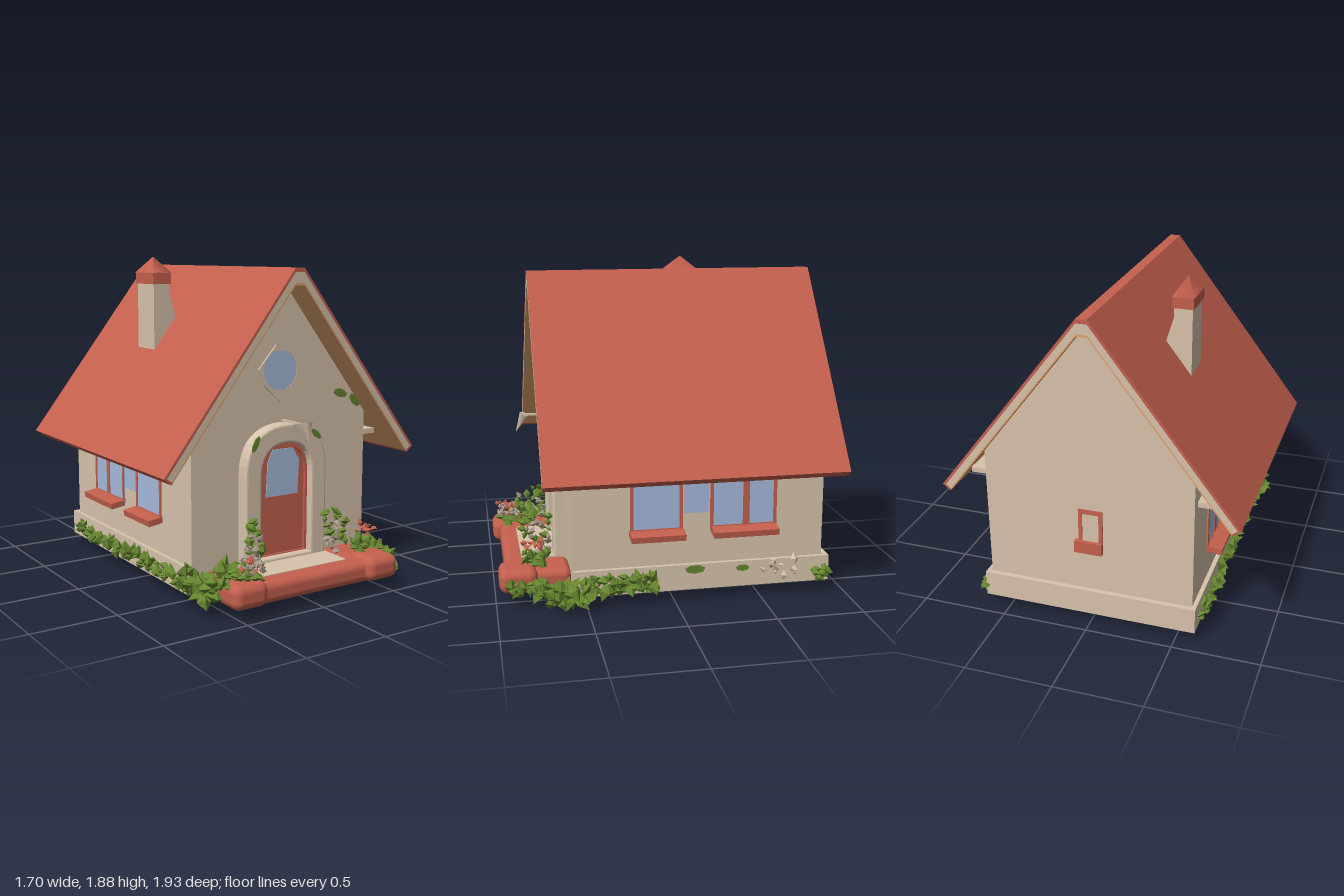
import * as THREE from 'three';
import { mergeGeometries } from 'three/addons/utils/BufferGeometryUtils.js';
import { RoundedBoxGeometry } from 'three/addons/geometries/RoundedBoxGeometry.js';

const material = (name, color, side = THREE.FrontSide) => {
  const m = new THREE.MeshStandardMaterial({ color, side });
  m.name = name;
  return m;
};

export function createModel() {
  const red = material('brick red', 0xc5604e);
  const beige = material('plaster beige', 0xd8c3ac, THREE.DoubleSide);
  const tan = material('soffit tan', 0xdda470);
  const blue = material('window blue', 0xa6bbdc);
  const green = material('leaf green', 0x66862f);
  const grey = material('blossom grey', 0xa8968a);

  const group = new THREE.Group();
  group.name = 'cottage';
  let seed = 11;
  const rand = () => (seed = (seed * 16807) % 2147483647) / 2147483647;

  const add = (name, geometry, mat, x = 0, y = 0, z = 0, ry = 0) => {
    const mesh = new THREE.Mesh(geometry, mat);
    mesh.name = name;
    mesh.position.set(x, y, z);
    mesh.rotation.y = ry;
    group.add(mesh);
    return mesh;
  };
  const box = (name, w, h, d, mat, x, y, z, ry) => add(name, new THREE.BoxGeometry(w, h, d), mat, x, y, z, ry);
  const polygon = (pts) => new THREE.Shape(pts.map(([x, y]) => new THREE.Vector2(x, y)));
  const rect = (w, h) => polygon([[-w / 2, -h / 2], [w / 2, -h / 2], [w / 2, h / 2], [-w / 2, h / 2]]);
  const extrude = (shape, depth, bevel = 0) => new THREE.ExtrudeGeometry(shape, {
    depth, curveSegments: 10, bevelEnabled: bevel > 0, bevelSize: bevel, bevelThickness: bevel, bevelSegments: 3,
  });
  const ring = (outer, inner) => {
    outer.holes.push(inner);
    return outer;
  };

  // Roof: chevron layers stacked inward, the tiles lapping over the eaves
  const roofFront = 0.75, roofLength = 1.7;
  const eave = (s, d, inset) => [s * (0.85 - 0.791 * d - 0.612 * inset), 0.8 - 0.612 * d + 0.791 * inset];
  const roofLine = (d, inset) => [
    eave(-1, d, inset), [-0.03, 1.86 - 1.634 * d], [0.03, 1.86 - 1.634 * d], eave(1, d, inset),
  ];
  const roofLayer = (name, lower, upper, mat) => add(name,
    extrude(polygon([...lower, ...upper.reverse()]), roofLength), mat, 0, 0, roofFront - roofLength);
  const lip = 0.012;
  roofLayer('roofTiles',
    [eave(-1, 0.058, 0), eave(-1, 0.058, lip), ...roofLine(0.015, lip), eave(1, 0.058, lip), eave(1, 0.058, 0)],
    roofLine(0, 0), red);
  roofLayer('roofBoards', roofLine(0.05, lip), roofLine(0.015, lip), beige);
  roofLayer('roofSoffit', roofLine(0.058, lip), roofLine(0.05, lip), tan);

  // Walls: open shell with two gables, standing on the foundation
  const wallX = 0.6, centreX = 0.015, frontZ = 0.575, backZ = -0.88, baseY = 0.09, wallY = 0.2, eavesY = 1.03;
  const wallLength = frontZ - backZ, midZ = (frontZ + backZ) / 2;
  const sideX = (s, out) => centreX + s * (wallX + out);
  const gable = (c) => polygon([[c - wallX, wallY], [c + wallX, wallY], [c + wallX, eavesY], [0.03, 1.765], [-0.03, 1.765], [c - wallX, eavesY]]);
  add('frontWall', new THREE.ShapeGeometry(gable(centreX)), beige, 0, 0, frontZ);
  add('backWall', new THREE.ShapeGeometry(gable(-centreX)), beige, 0, 0, backZ, Math.PI);

  // Low foundation ledge around the walls
  const ledge = ring(rect(1.25, wallLength + 0.04), rect(1.19, wallLength - 0.02));
  const ledgeGeometry = extrude(ledge, 0.15);
  ledgeGeometry.rotateX(-Math.PI / 2);
  add('foundation', ledgeGeometry, beige, centreX, baseY, midZ - 0.02);

  // Side walls with a row of panes, frames and sills
  for (const s of [-1, 1]) {
    const turn = s * Math.PI / 2;
    add('sideWall', new THREE.PlaneGeometry(wallLength, eavesY - wallY), beige, sideX(s, 0), (eavesY + wallY) / 2, midZ, turn);
    box('eavesBeam', 0.1, 0.03, wallLength, beige, s * 0.65, 0.88, midZ);
    for (const [z0, z1, y0, framed] of [[-0.05, 0.25, 0.44, true], [-0.2, -0.06, 0.54, false], [-0.42, -0.21, 0.44, true], [-0.6, -0.42, 0.44, true]]) {
      const w = z1 - z0, h = 0.87 - y0, z = (z0 + z1) / 2, y = y0 + h / 2;
      box('sidePane', w, h, 0.012, blue, sideX(s, 0), y, z, turn);
      if (framed) {
        add('sideFrame', extrude(ring(rect(w, h), rect(w - 0.038, h - 0.038)), 0.02), red, sideX(s, -0.01), y, z, turn);
      }
    }
    for (const [z, w] of [[0.1, 0.31], [-0.405, 0.38]]) {
      const sill = box('sideSill', w, 0.035, 0.1, red, sideX(s, 0.04), 0.432, z, turn);
      sill.rotation.order = 'YXZ';
      sill.rotation.x = 0.15;
    }
  }

  // Small back window
  box('backPane', 0.1, 0.18, 0.012, beige, 0, 0.63, backZ);
  add('backFrame', extrude(ring(rect(0.14, 0.22), rect(0.095, 0.17)), 0.015), red, 0, 0.63, backZ + 0.006, Math.PI);
  box('backSill', 0.16, 0.07, 0.035, red, 0.01, 0.51, backZ - 0.012);

  // Door with an arched surround
  const arch = (w, y0, spring, top) => {
    const s = new THREE.Shape();
    s.moveTo(-w, y0);
    s.lineTo(w, y0);
    s.lineTo(w, spring);
    s.bezierCurveTo(w, spring + (top - spring) * 0.7, w * 0.6, top, 0, top);
    s.bezierCurveTo(-w * 0.6, top, -w, spring + (top - spring) * 0.7, -w, spring);
    s.lineTo(-w, y0);
    return s;
  };
  add('doorSurround', extrude(ring(arch(0.265, 0.2, 0.72, 0.98), arch(0.185, 0.22, 0.7, 0.9)), 0.06, 0.015), beige, 0, 0, frontZ);
  add('door', extrude(arch(0.178, 0.22, 0.7, 0.885), 0.03), red, 0, 0, frontZ - 0.01);
  const doorGlass = polygon([[-0.11, 0.575], [0.11, 0.575], [0.12, 0.77], [0.075, 0.845], [-0.065, 0.845], [-0.1, 0.77]]);
  add('doorPane', extrude(doorGlass, 0.04), blue, 0, 0, frontZ - 0.016);
  add('doorFrame', extrude(ring(arch(0.185, 0.22, 0.7, 0.9), arch(0.155, 0.24, 0.69, 0.865)), 0.035), red, 0, 0, frontZ);

  // Lantern hanging in front of the arch
  const lantern = new THREE.ConeGeometry(0.07, 0.12, 4);
  lantern.rotateX(Math.PI);
  lantern.scale(1, 1, 0.4);
  add('lantern', lantern, beige, 0, 0.96, 0.81).rotation.x = -0.45;
  box('lanternBracket', 0.012, 0.012, 0.17, beige, 0, 1.01, 0.69);

  // Round attic window with a pointed rim
  const disc = new THREE.CylinderGeometry(0.115, 0.115, 0.012, 24);
  disc.rotateX(Math.PI / 2);
  add('atticPane', disc, blue, -0.005, 1.29, frontZ + 0.002);
  const rim = polygon([[0, -0.18], [0.115, -0.06], [0.13, 0.04], [0.06, 0.13], [-0.03, 0.145], [-0.15, 0.01], [-0.11, -0.08]]);
  const opening = new THREE.Path();
  opening.absarc(0, 0, 0.113, 0, Math.PI * 2, true);
  add('atticRim', extrude(ring(rim, opening), 0.01), beige, -0.005, 1.29, frontZ);

  // Porch floor with a red kerb that swells at both ends
  box('porchFloor', 0.56, 0.06, 0.28, beige, 0, 0.185, 0.7);
  add('porchKerb', new RoundedBoxGeometry(1.08, 0.125, 0.14, 3, 0.045), red, 0, 0.15, 0.87);
  for (const s of [-1, 1]) {
    add('kerbSide', new RoundedBoxGeometry(0.25, 0.12, 0.3, 3, 0.04), red, s * 0.4, 0.155, 0.72);
    add('kerbEnd', new RoundedBoxGeometry(0.22, 0.14, 0.22, 3, 0.05), red, s * 0.45, 0.165, 0.87);
  }

  // Chimney with a pyramid cap
  const stack = polygon([[-0.41, 1.25], [-0.25, 1.4], [-0.265, 1.57], [-0.305, 1.7], [-0.305, 1.77], [-0.41, 1.77]]);
  add('chimneyStack', extrude(stack, 0.2), beige, 0, 0, -0.34);
  box('chimneyCollar', 0.12, 0.07, 0.22, red, -0.358, 1.79, -0.24);
  const cap = new THREE.ConeGeometry(Math.SQRT1_2, 0.095, 4);
  cap.rotateY(Math.PI / 4);
  cap.scale(0.125, 1, 0.23);
  add('chimneyCap', cap, red, -0.358, 1.868, -0.24);

  // Plants: ragged clusters of folded leaves, spread evenly along z
  const tuft = (name, mat, [x, y, z], [rx, ry, rz], count, size) => {
    const leaves = [];
    for (let i = 0; i < count; i++) {
      const leaf = new THREE.OctahedronGeometry(size * (0.6 + 0.7 * rand()));
      leaf.scale(1, 0.5, 0.75);
      leaf.rotateZ(rand() * 6.28);
      leaf.rotateY(rand() * 6.28);
      const a = rand() * 6.28, r = 0.4 + 0.6 * rand();
      leaf.translate(Math.cos(a) * r * rx, Math.sin(a) * r * ry, (rand() * 2 - 1) * rz);
      leaf.computeVertexNormals();
      leaves.push(leaf);
    }
    add(name, mergeGeometries(leaves), mat, x, y, z);
  };
  tuft('leftBush', green, [-0.48, 0.23, 0.83], [0.13, 0.07, 0.1], 60, 0.05);
  tuft('leftBushSide', green, [-0.62, 0.18, 0.7], [0.06, 0.06, 0.13], 40, 0.05);
  tuft('leftBlossoms', grey, [-0.41, 0.3, 0.88], [0.08, 0.04, 0.07], 36, 0.025);
  tuft('leftRedBlossoms', red, [-0.42, 0.31, 0.88], [0.08, 0.04, 0.07], 16, 0.025);
  tuft('rightBush', green, [0.44, 0.26, 0.77], [0.06, 0.05, 0.07], 22, 0.045);
  tuft('rightBushSide', green, [0.57, 0.13, 0.82], [0.03, 0.04, 0.1], 32, 0.042);
  tuft('rightBlossoms', red, [0.47, 0.36, 0.78], [0.04, 0.04, 0.06], 14, 0.025);
  tuft('rightCornerBush', green, [0.67, 0.13, 0.6], [0.07, 0.06, 0.12], 50, 0.05);
  tuft('rightHedge', green, [0.65, 0.16, 0.29], [0.03, 0.05, 0.19], 60, 0.045);
  tuft('leftHedge', green, [-0.62, 0.16, -0.1], [0.025, 0.04, 0.72], 130, 0.042);
  tuft('rightBackTuft', green, [0.64, 0.14, -0.88], [0.03, 0.05, 0.05], 18, 0.035);
  tuft('rightBackStems', beige, [0.65, 0.2, -0.62], [0.02, 0.07, 0.1], 12, 0.03);
  for (const s of [-1, 1]) {
    tuft('archIvy', green, [s * 0.27, 0.39, 0.75], [0.02, 0.11, 0.09], 20, 0.035);
    tuft('archIvyStems', grey, [s * 0.28, 0.34, 0.74], [0.025, 0.1, 0.08], 14, 0.03);
  }

  // Moss patches on plaster, arch and foundation
  const moss = (x, y, z, w, h, tilt, ry) => {
    const patch = new THREE.CylinderGeometry(0.5, 0.5, 0.008, 7);
    patch.rotateX(Math.PI / 2);
    patch.scale(w, h, 1);
    patch.rotateZ(tilt);
    add('moss', patch, green, x, y, z, ry);
  };
  moss(0.43, 1.13, frontZ + 0.004, 0.1, 0.05, -0.3, 0);
  moss(0.54, 1.08, frontZ + 0.004, 0.1, 0.05, -0.8, 0);
  moss(0.2, 0.92, 0.651, 0.09, 0.035, -0.7, 0);
  moss(-0.215, 0.9, 0.651, 0.1, 0.035, 1.1, 0);
  moss(0.641, 0.21, -0.12, 0.12, 0.05, 0, Math.PI / 2);
  moss(0.641, 0.2, -0.4, 0.08, 0.04, 0, Math.PI / 2);

  return group;
}
